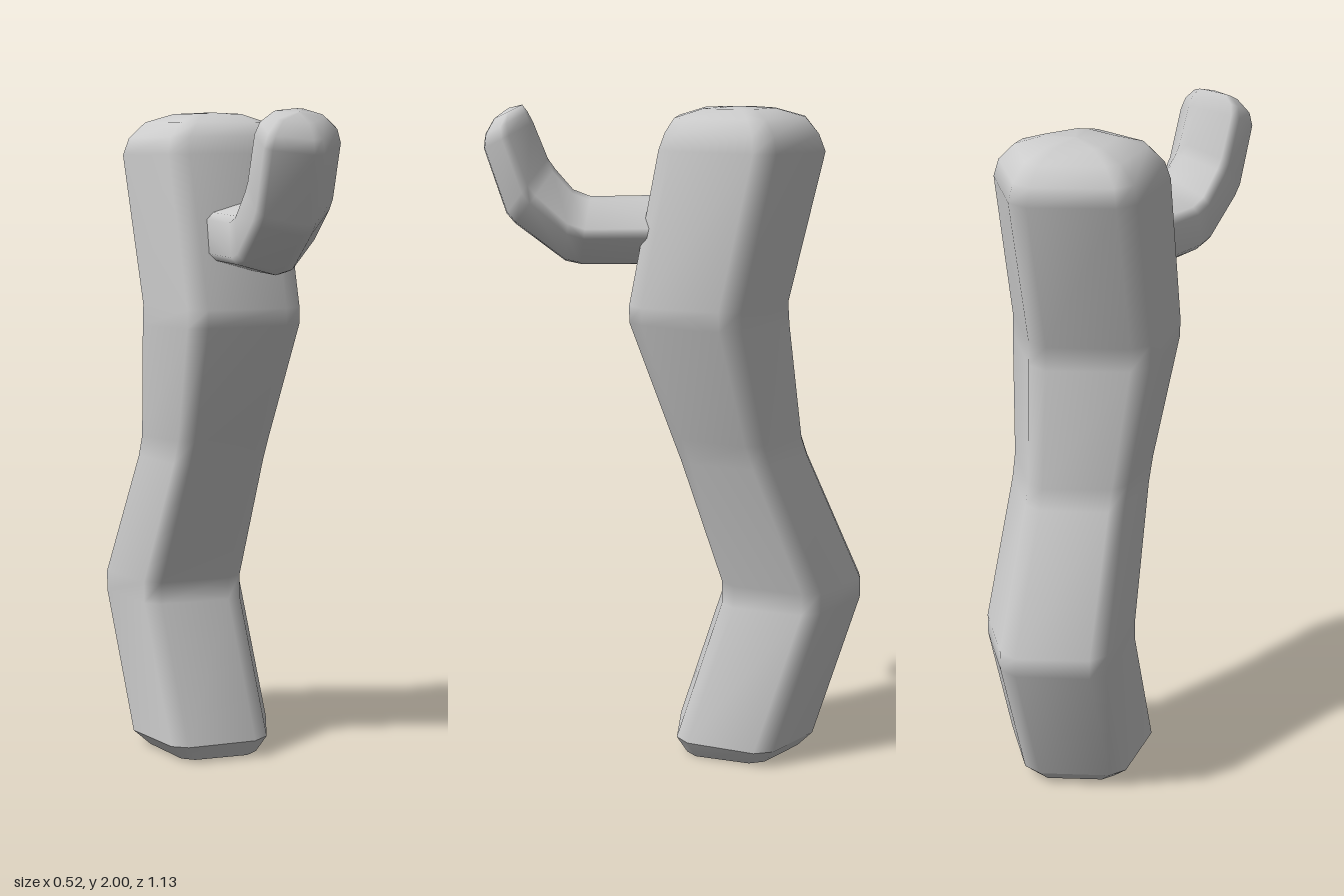
import * as THREE from 'three';

// Five-sided cross-section with bevelled corners (u across, v along the depth)
const half = [[1, 0.14], [0.4, 0.92], [0.13, 1], [-0.83, 0.68], [-1, 0.48]];
const section = [...half, ...half.map(([u, v]) => [u, -v]).reverse()];

// Skins rings given as [z, y at v=+1, z, y at v=-1, half width].
// lean shifts x with z and turns the cross-section to match.
function loft(rings, cx, lean = 0) {
  const pos = [], index = [], n = section.length;
  const c = 1 / Math.hypot(1, lean), s = -lean * c;
  for (const [z1, y1, z2, y2, w] of rings) {
    for (const [u, v] of section) {
      const t = (1 - v) / 2;
      const z = z1 + (z2 - z1) * t, y = y1 + (y2 - y1) * t;
      pos.push(cx + lean * z + u * w * c, y, z + u * w * s);
    }
  }
  for (let r = 0; r < rings.length - 1; r++) {
    for (let i = 0; i < n; i++) {
      const a = r * n + i, b = r * n + (i + 1) % n;
      index.push(a, a + n, b, b, a + n, b + n);
    }
  }
  const geo = new THREE.BufferGeometry();
  geo.setAttribute('position', new THREE.Float32BufferAttribute(pos, 3));
  geo.setIndex(index);
  geo.computeVertexNormals();
  return geo;
}

export function createModel() {
  const group = new THREE.Group();
  const material = new THREE.MeshStandardMaterial({ color: 0xcccccc });
  const add = (name, geo) => {
    const mesh = new THREE.Mesh(geo, material);
    mesh.name = name;
    group.add(mesh);
  };

  const sole = [0, 0, -0.365, 0, 0.165];
  const rim = [0.035, 0.055, -0.41, 0.045, 0.212];

  // Crisp chamfered foot
  add('sole', loft([[-0.18, 0, -0.18, 0, 0], sole], 0.025));
  add('footChamfer', loft([sole, rim], 0.025));

  // Crooked trunk with softened bends and a domed top
  add('trunk', loft([
    rim,
    [-0.11, 0.48, -0.56, 0.48, 0.212],
    [-0.11, 0.55, -0.56, 0.54, 0.212],
    [0.02, 0.94, -0.38, 0.94, 0.195],
    [0.05, 1.02, -0.36, 1.0, 0.197],
    [0.18, 1.37, -0.315, 1.35, 0.235],
    [0.18, 1.42, -0.31, 1.42, 0.235],
    [0.09, 1.87, -0.42, 1.86, 0.235],
    [0.07, 1.92, -0.4, 1.91, 0.22],
    [0.04, 1.96, -0.36, 1.96, 0.175],
    [-0.05, 1.985, -0.27, 1.985, 0.1],
    [-0.16, 1.99, -0.16, 1.99, 0],
  ], 0.025));

  // Side branch, leaving the front and curling upward
  add('branch', loft([
    [0, 1.53, 0, 1.735, 0.118],
    [0.29, 1.53, 0.26, 1.73, 0.118],
    [0.335, 1.54, 0.31, 1.75, 0.118],
    [0.475, 1.65, 0.36, 1.81, 0.118],
    [0.5, 1.68, 0.38, 1.84, 0.118],
    [0.56, 1.87, 0.42, 1.945, 0.117],
    [0.555, 1.91, 0.435, 1.975, 0.105],
    [0.53, 1.955, 0.45, 1.995, 0.07],
    [0.49, 1.985, 0.49, 1.985, 0],
  ], -0.005, -0.28));

  return group;
}
